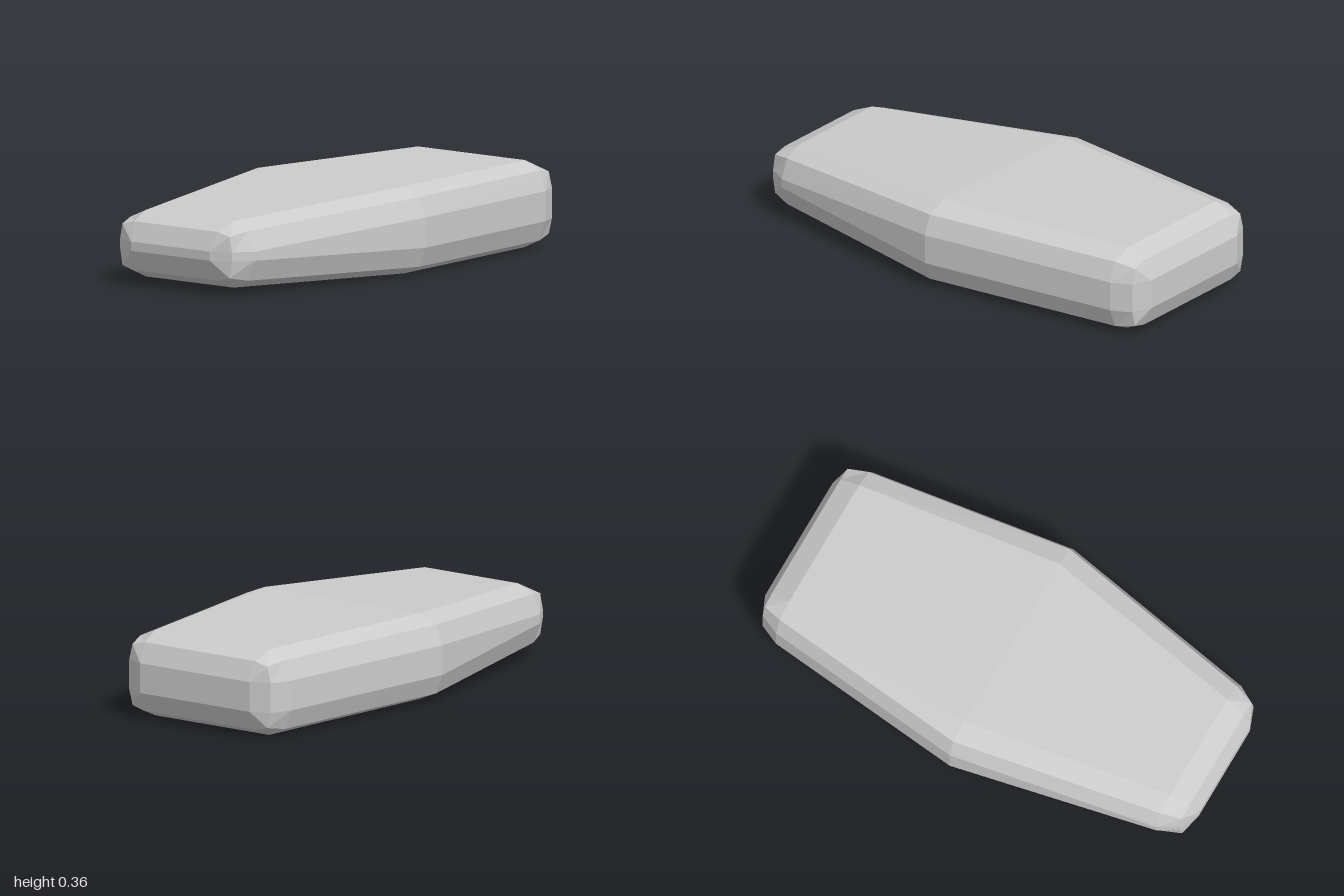
import * as THREE from 'three';

// Cross-sections from back to front. Each corner has an inner, middle and outer x;
// y runs top, upper middle, upper side, lower side, lower middle, bottom.
const sections = [
  { z: -1, x: [0.28, 0.28, 0.28], y: [0.243, 0.243, 0.243, 0.118, 0.118, 0.118] },
  { z: -0.965, x: [0.285, 0.345, 0.362], y: [0.325, 0.309, 0.243, 0.118, 0.052, 0.036] },
  { z: -0.88, x: [0.29, 0.37, 0.402], y: [0.36, 0.325, 0.243, 0.118, 0.036, 0] },
  { z: 0, x: [0.395, 0.482, 0.515], y: [0.36, 0.325, 0.243, 0.118, 0.036, 0] },
  { z: 0.88, x: [0.238, 0.318, 0.353], y: [0.3, 0.266, 0.185, 0.147, 0.061, 0.025] },
  { z: 0.965, x: [0.224, 0.29, 0.303], y: [0.264, 0.249, 0.185, 0.147, 0.077, 0.062] },
  { z: 1, x: [0.213, 0.213, 0.213], y: [0.185, 0.185, 0.185, 0.147, 0.147, 0.147] },
];

// Twelve points, counter-clockwise seen from the front, starting at the lower left side (+x)
function ring({ z, x, y }) {
  const side = [5, 4, 3, 2, 1, 0].map((i) => [x[i < 3 ? i : 5 - i], y[i]]);
  const mirrored = [...side].reverse().map(([px, py]) => [-px, py]);
  return [...side, ...mirrored].map(([px, py]) => new THREE.Vector3(px, py, z));
}

function bodyGeometry() {
  const rings = sections.map(ring);
  const positions = [];
  const tri = (a, b, c) => {
    const area = b.clone().sub(a).cross(c.clone().sub(a)).length();
    if (area > 1e-7) for (const p of [a, b, c]) positions.push(p.x, p.y, p.z);
  };
  const quad = (a, b, c, d) => { tri(a, b, c); tri(a, c, d); };

  // Bevelled skin between neighbouring sections
  for (let s = 0; s < rings.length - 1; s++) {
    const back = rings[s], front = rings[s + 1];
    for (let i = 0; i < 12; i++) {
      const j = (i + 1) % 12;
      quad(front[i], back[i], back[j], front[j]);
    }
  }

  // Flat end faces
  const f = rings[rings.length - 1], b = rings[0];
  quad(f[0], f[5], f[6], f[11]);
  quad(b[11], b[6], b[5], b[0]);

  const geometry = new THREE.BufferGeometry();
  geometry.setAttribute('position', new THREE.Float32BufferAttribute(positions, 3));
  geometry.computeVertexNormals();
  return geometry;
}

export function createModel() {
  const grey = new THREE.MeshStandardMaterial({ color: 0xcccccc });
  grey.name = 'light grey';
  grey.flatShading = true;

  const group = new THREE.Group();
  group.name = 'bevelledBlock';
  const body = new THREE.Mesh(bodyGeometry(), grey);
  body.name = 'body';
  group.add(body);
  return group;
}
